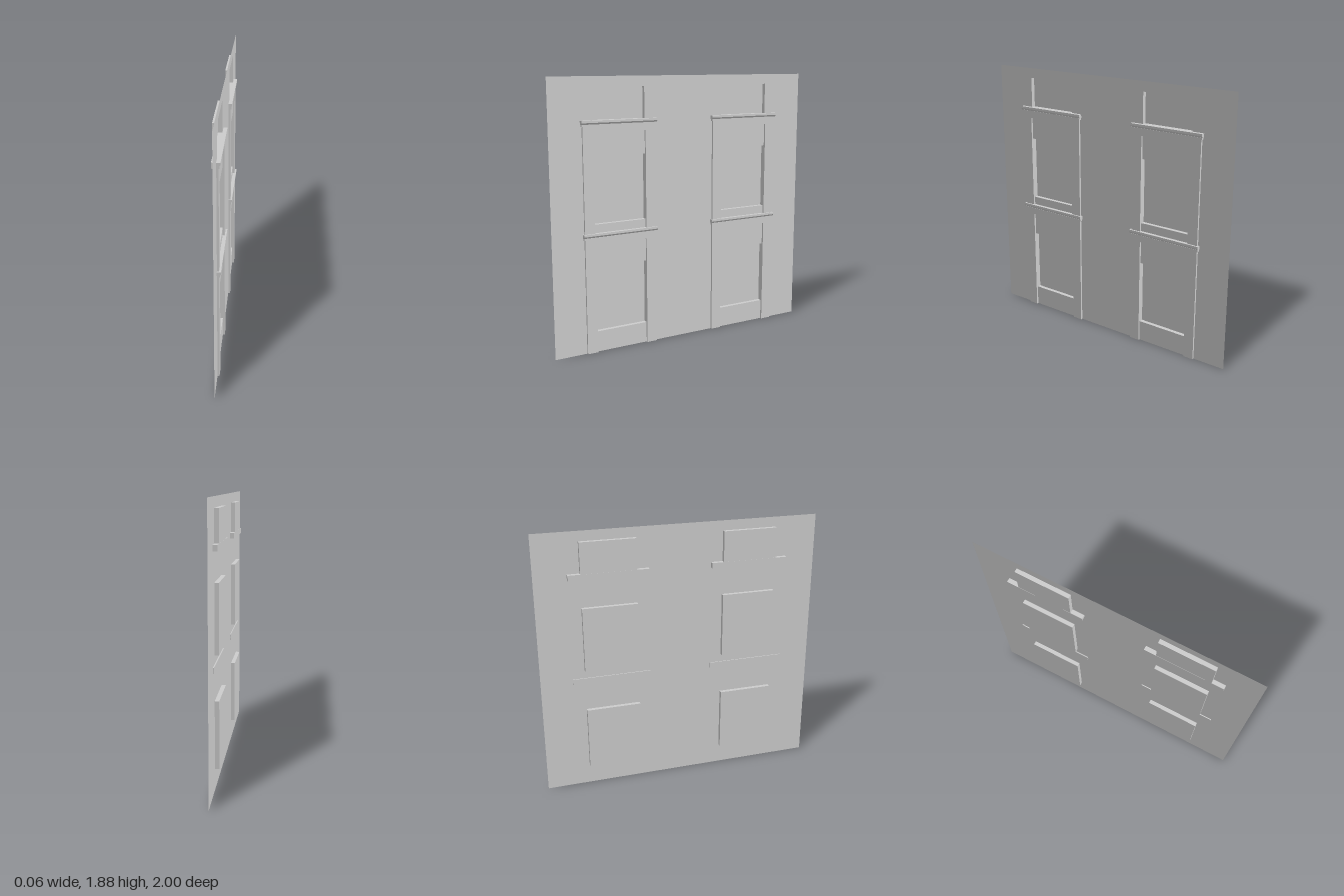
import * as THREE from 'three';

const material = new THREE.MeshStandardMaterial({ color: 0xcccccc, side: THREE.DoubleSide });
const WALL = 0.002;          // depth of the wall plane
const RECESS_BACK = -0.027;  // depth of the window panes
const HALF = 0.1925;         // half width of a window
const columns = [-0.502, 0.498];
const windows = [[0.147, 0.602], [0.902, 1.36], [1.58, 1.815]];

// Parts are drawn facing +z; their points turn to face +x, the shading normals stay as drawn
function mesh(name, geometry) {
  geometry.attributes.position.applyMatrix4(new THREE.Matrix4().makeRotationY(Math.PI / 2));
  const m = new THREE.Mesh(geometry, material);
  m.name = name;
  return m;
}

function polygon(points) {
  return new THREE.Shape(points.map(([x, y]) => new THREE.Vector2(x, y)));
}

function rectangle(x0, x1, y0, y1) {
  return polygon([[x0, y0], [x1, y0], [x1, y1], [x0, y1]]);
}

// Flat wall pierced by the window openings
function wall() {
  const shape = rectangle(-1, 1, 0, 1.885);
  for (const c of columns)
    for (const [y0, y1] of windows) shape.holes.push(rectangle(c - HALF, c + HALF, y0, y1));
  return mesh('wall', new THREE.ShapeGeometry(shape).translate(0, 0, WALL));
}

// Open-fronted box turned inside out: pane and four reveals
function recess(y0, y1) {
  const depth = WALL - RECESS_BACK;
  const g = new THREE.BoxGeometry(2 * HALF, y1 - y0, depth);
  g.translate(0, (y0 + y1) / 2, WALL - depth / 2);
  const index = Array.from(g.index.array);
  index.splice(24, 6); // drop the front face
  g.setIndex(index.reverse());
  g.clearGroups();
  const normals = g.attributes.normal.array;
  normals.forEach((n, i) => { normals[i] = -n; });
  return mesh('windowRecess', g);
}

// Raised surround: two posts joined by a head
function surround(y0, openingTop, y1) {
  const w = 0.267;
  const shape = polygon([[-w, y0], [-HALF, y0], [-HALF, openingTop], [HALF, openingTop],
    [HALF, y0], [w, y0], [w, y1], [-w, y1]]);
  const g = new THREE.ExtrudeGeometry(shape, { depth: 0.014, bevelEnabled: false });
  return mesh('windowSurround', g.translate(0, 0, WALL));
}

// Moulded ledge: wide cap, sloping underside, narrower band
function ledge(back, y0, y1) {
  const group = new THREE.Group();
  group.name = 'ledge';
  const step = y0 + 0.014;
  const bar = (name, points, length) => {
    const g = new THREE.ExtrudeGeometry(polygon(points), { depth: length, bevelEnabled: false });
    g.translate(0, 0, -length / 2).rotateY(-Math.PI / 2);
    group.add(mesh(name, g));
  };
  bar('ledgeCap', [[back, step], [0.02, step], [0.028, step + 0.011], [0.028, y1], [back, y1]], 0.556);
  bar('ledgeBand', [[back, y0], [0.022, y0], [0.022, step], [back, step]], 0.55);
  return group;
}

export function createModel() {
  const model = new THREE.Group();
  model.name = 'facade';
  model.add(wall());
  for (const c of columns) {
    const bay = new THREE.Group();
    bay.name = 'windowBay';
    bay.position.z = -c;
    for (const [y0, y1] of windows) bay.add(recess(y0, y1));
    bay.add(surround(0, 0.765, 0.81), surround(0.83, 1.52, 1.565));
    bay.add(ledge(-0.005, 0.803, 0.843), ledge(-0.028, 1.56, 1.6));
    model.add(bay);
  }
  return model;
}
